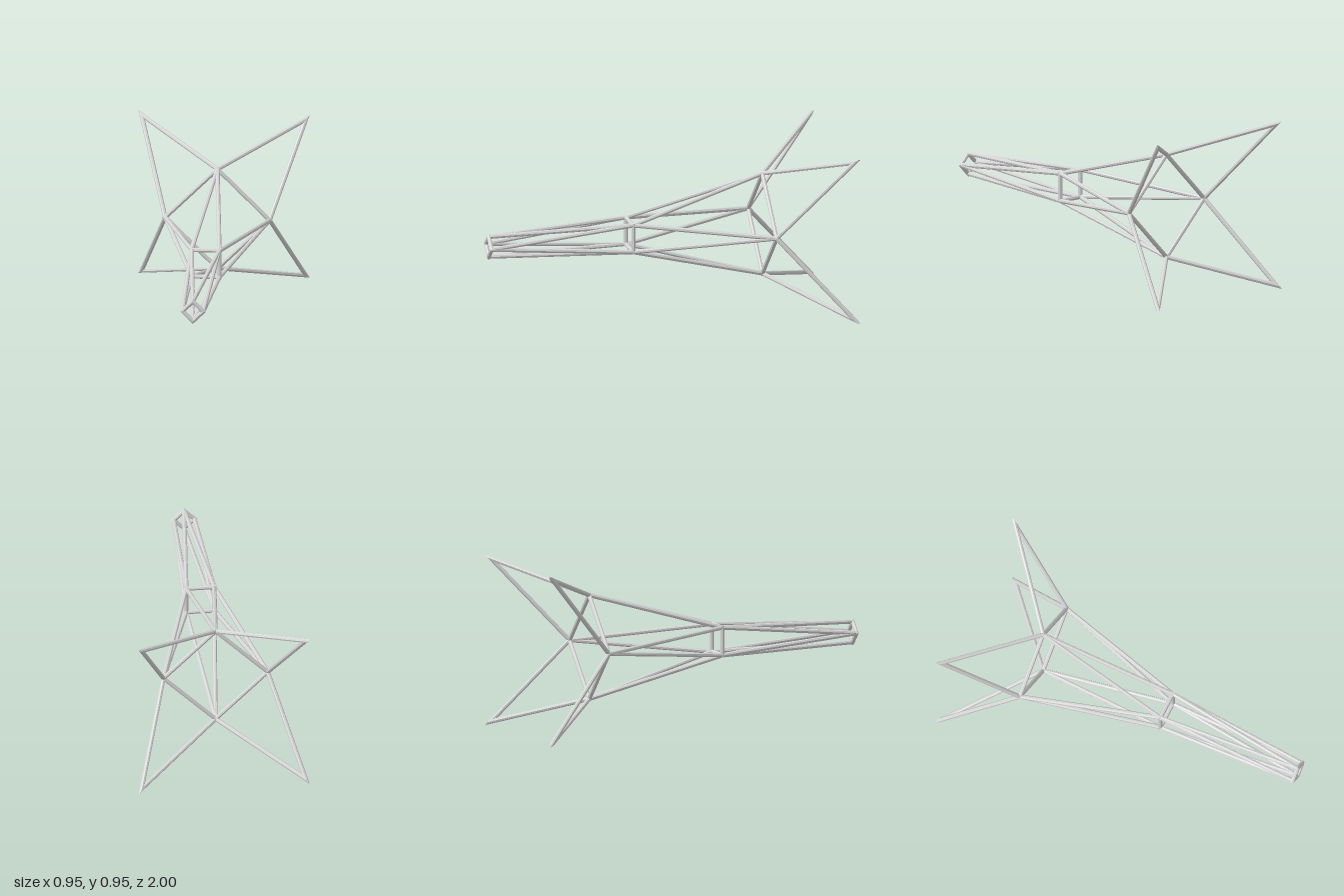
import * as THREE from 'three';

const RADIUS = 0.0122;
const CENTRE_Y = 0.473;
const UP = new THREE.Vector3(0, 1, 0);

// Four points around the z axis, starting at the given angle
function ring(distance, z, startAngle) {
  return [0, 1, 2, 3].map((i) => {
    const a = startAngle + (i * Math.PI) / 2;
    return new THREE.Vector3(Math.cos(a) * distance, Math.sin(a) * distance, z);
  });
}

// Eight-sided strut from a to b; mitred ends are cut by the plane holding the z axis and the end point
function strutGeometry(a, b, mitred) {
  const axis = b.clone().sub(a);
  const length = axis.length();
  axis.normalize();
  const geometry = new THREE.CylinderGeometry(RADIUS, RADIUS, length, 8);
  geometry.translate(0, length / 2, 0);
  geometry.applyQuaternion(new THREE.Quaternion().setFromUnitVectors(UP, axis));
  geometry.translate(a.x, a.y, a.z);
  if (mitred) {
    const position = geometry.attributes.position;
    const p = new THREE.Vector3();
    for (let i = 0; i < position.count; i++) {
      p.fromBufferAttribute(position, i);
      const end = p.clone().sub(a).dot(axis) < length / 2 ? a : b;
      const normal = new THREE.Vector3(-end.y, end.x, 0).normalize();
      p.addScaledVector(axis, -p.dot(normal) / axis.dot(normal));
      position.setXYZ(i, p.x, p.y, p.z);
    }
    geometry.computeVertexNormals();
  }
  return geometry;
}

export function createModel() {
  const model = new THREE.Group();
  model.name = 'spaceFrame';
  const metal = new THREE.MeshStandardMaterial({ color: 0xd6d6d6 });
  metal.name = 'light grey metal';
  metal.flatShading = true;

  // Joints: small nose diamond, square collar, large diamond and rear tips
  const nose = ring(0.057, 0.987, 0);
  const collar = ring(0.077 * Math.SQRT2, 0.183, Math.PI / 4);
  const hub = ring(0.288, -0.575, 0);
  const tips = ring(0.453 * Math.SQRT2, -0.974, Math.PI / 4);

  const parts = {};
  for (const name of ['noseRing', 'collarRing', 'hubRing', 'noseStruts', 'bodyStruts', 'horns']) {
    parts[name] = new THREE.Group();
    parts[name].name = name;
    model.add(parts[name]);
  }
  const addStrut = (part, a, b, mitred) => {
    const mesh = new THREE.Mesh(strutGeometry(a, b, mitred), metal);
    mesh.name = part + 'Strut';
    parts[part].add(mesh);
  };

  for (let i = 0; i < 4; i++) {
    const next = (i + 1) % 4;
    // Closed rings
    addStrut('noseRing', nose[i], nose[next], true);
    addStrut('collarRing', collar[i], collar[next], true);
    addStrut('hubRing', hub[i], hub[next], true);
    // Each corner joins the two diamond joints beside it
    for (const k of [i, next]) {
      addStrut('noseStruts', collar[i], nose[k], false);
      addStrut('bodyStruts', collar[i], hub[k], false);
      addStrut('horns', hub[k], tips[i], true);
    }
  }

  model.position.y = CENTRE_Y;
  const root = new THREE.Group();
  root.name = 'model';
  root.add(model);
  return root;
}
